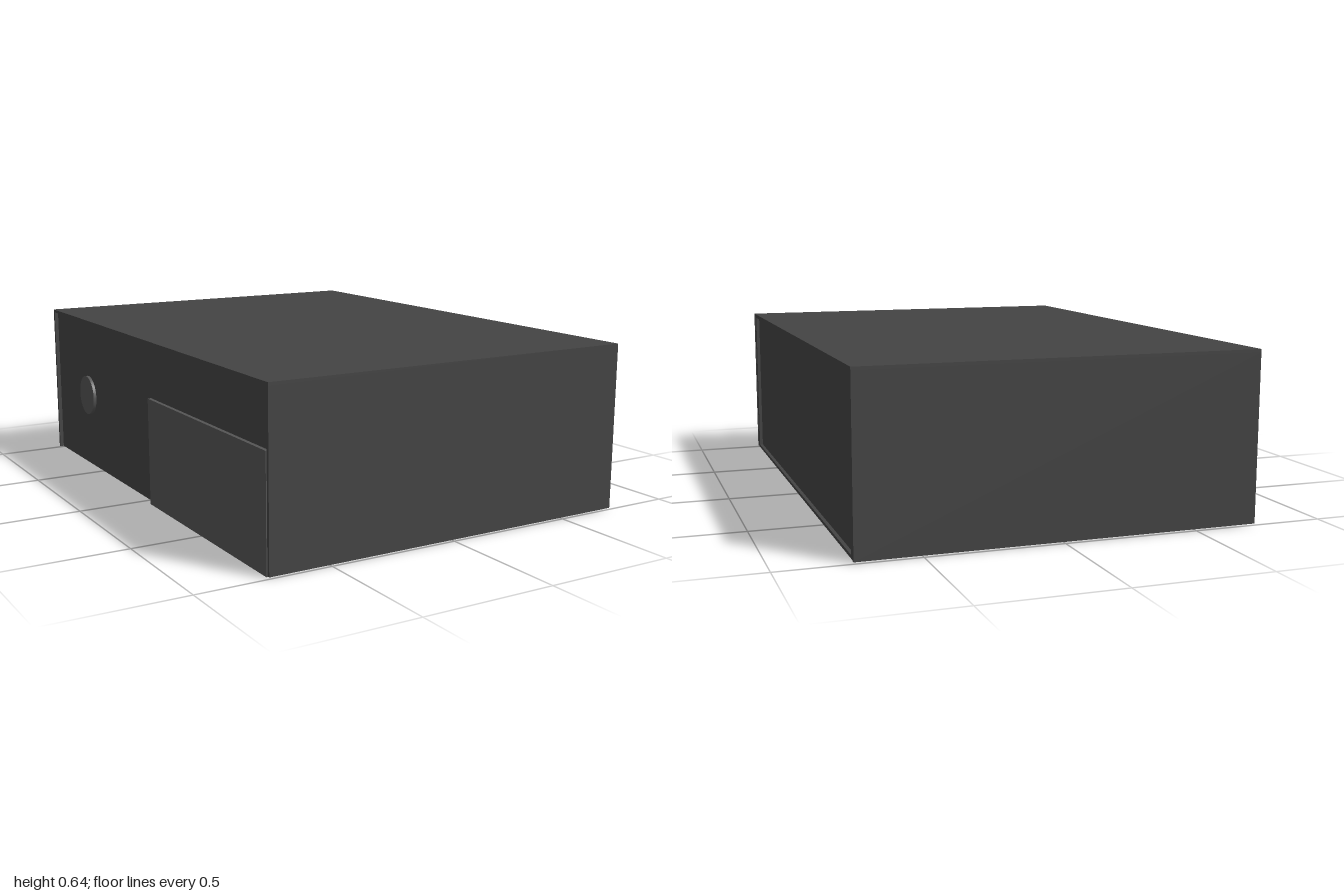
import * as THREE from 'three';

const dark = new THREE.MeshStandardMaterial({ color: 0x444444 });
const light = new THREE.MeshStandardMaterial({ color: 0x555555 });

// Box given by its minimum and maximum corners
function box(name, material, [x0, y0, z0], [x1, y1, z1]) {
  const mesh = new THREE.Mesh(new THREE.BoxGeometry(x1 - x0, y1 - y0, z1 - z0), material);
  mesh.name = name;
  mesh.position.set((x0 + x1) / 2, (y0 + y1) / 2, (z0 + z1) / 2);
  return mesh;
}

export function createModel() {
  const group = new THREE.Group();
  group.name = 'case';
  const W = 0.735, H = 0.636, base = 0.006, t = 0.012, inset = 0.72;

  // Inner body, set back from both long sides
  group.add(box('body', dark, [-inset, base, -1 + t], [inset, H - t, 1 - t]));

  // Outer walls overhanging the body
  group.add(box('topPanel', dark, [-W, H - t, -1], [W, H, 1]));
  group.add(box('frontPanel', dark, [-W, base, 1 - t], [W, H - t, 1]));
  group.add(box('backPanel', dark, [-W, base, -1], [W, H - t, -1 + t]));

  // Frame around the recessed right panel
  const frame = new THREE.Shape();
  frame.moveTo(-1 + t, base).lineTo(1 - t, base).lineTo(1 - t, H - t).lineTo(-1 + t, H - t).closePath();
  const opening = new THREE.Path();
  opening.moveTo(-0.955, 0.018).lineTo(-0.955, 0.62).lineTo(0.955, 0.62).lineTo(0.955, 0.018).closePath();
  frame.holes.push(opening);
  const sideFrame = new THREE.Mesh(
    new THREE.ExtrudeGeometry(frame, { depth: W - inset - 0.002, bevelEnabled: false }), dark);
  sideFrame.name = 'sideFrame';
  sideFrame.rotation.y = Math.PI / 2;
  sideFrame.position.x = inset;
  group.add(sideFrame);

  // Compartment showing on the left side and underneath
  group.add(box('compartment', light, [-W + 0.001, 0, 0.05], [-0.04, 0.415, 0.98]));

  // Round button on the left side
  const button = new THREE.Mesh(new THREE.CylinderGeometry(0.082, 0.082, 0.024, 32), light);
  button.name = 'button';
  button.rotation.z = Math.PI / 2;
  button.position.set(-inset, 0.31, -0.62);
  group.add(button);

  return group;
}
